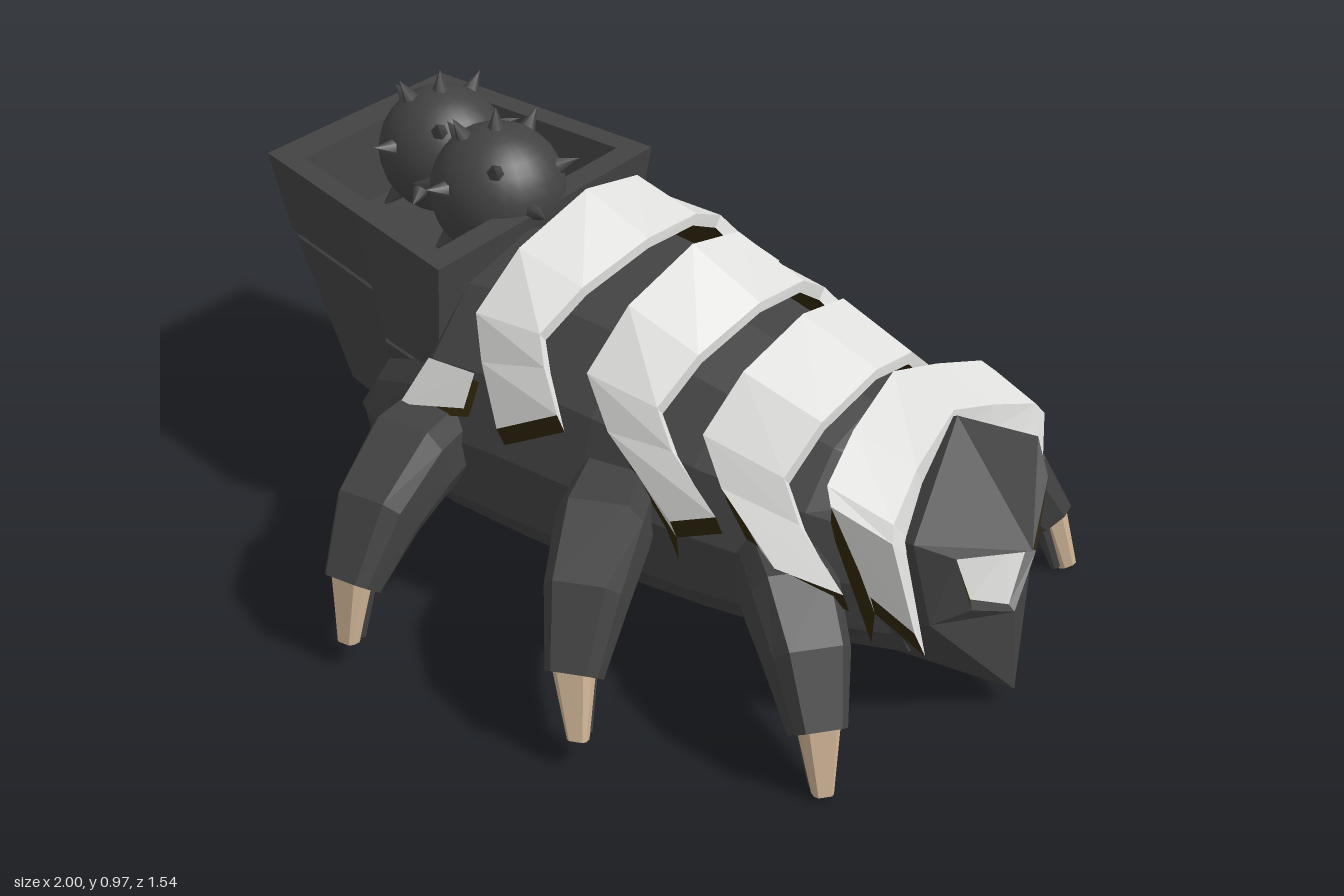
import * as THREE from 'three';

const mat = (name, color, side = THREE.FrontSide) => {
  const m = new THREE.MeshStandardMaterial({ color, side });
  m.name = name;
  return m;
};
const dark = mat('charcoal shell', 0x424242, THREE.DoubleSide);
const white = mat('pale armour', 0xe0e0de, THREE.DoubleSide);
const olive = mat('dark olive lining', 0x2f2609, THREE.DoubleSide);
const tan = mat('tan claw', 0xccb294);

// Flat-shaded mesh from a list of triangles
function triMesh(name, tris, material) {
  const g = new THREE.BufferGeometry();
  g.setAttribute('position', new THREE.Float32BufferAttribute(tris.flat(2), 3));
  g.computeVertexNormals();
  const m = new THREE.Mesh(g, material);
  m.name = name;
  return m;
}

// Closed solid through rings of equal length, turned outward by its signed volume
function loft(name, rings, material) {
  const tris = [], n = rings[0].length;
  for (let i = 0; i < rings.length - 1; i++)
    for (let j = 0; j < n; j++) {
      const k = (j + 1) % n, a = rings[i], b = rings[i + 1];
      tris.push([a[j], a[k], b[k]], [a[j], b[k], b[j]]);
    }
  const centre = r => [0, 1, 2].map(c => r.reduce((s, p) => s + p[c], 0) / n);
  const first = rings[0], last = rings[rings.length - 1];
  const c0 = centre(first), c1 = centre(last);
  for (let j = 0; j < n; j++) {
    const k = (j + 1) % n;
    tris.push([c0, first[k], first[j]], [c1, last[j], last[k]]);
  }
  const v = p => new THREE.Vector3(...p);
  const volume = tris.reduce((s, t) => s + v(t[0]).dot(v(t[1]).cross(v(t[2]))), 0);
  if (volume < 0) tris.forEach(t => t.reverse());
  return triMesh(name, tris, material);
}

// Open strip between two rows of points
function strip(name, a, b, material) {
  const tris = [];
  for (let i = 0; i < a.length - 1; i++)
    tris.push([a[i], b[i], b[i + 1]], [a[i], b[i + 1], a[i + 1]]);
  return triMesh(name, tris, material);
}

const mirrorZ = p => [p[0], p[1], -p[2]];

function makeBody() {
  // x, bottom, top, half width
  const stations = [
    [-0.72, 0.21, 0.25, 0.18], [-0.6, 0.165, 0.46, 0.29], [-0.42, 0.155, 0.58, 0.37],
    [-0.34, 0.15, 0.74, 0.4], [-0.12, 0.14, 0.77, 0.4], [0.1, 0.135, 0.75, 0.39],
    [0.35, 0.135, 0.69, 0.36], [0.6, 0.135, 0.63, 0.3], [0.8, 0.135, 0.55, 0.19],
  ];
  const rings = stations.map(([x, lo, hi, w]) => {
    const h = hi - lo;
    const half = [[0.75, 0.02], [0.95, 0.18], [1, 0.45], [0.87, 0.71], [0.53, 0.93]]
      .map(([z, y]) => [x, lo + y * h, z * w]);
    return [[x, lo, 0], ...half, [x, hi, 0], ...half.map(mirrorZ).reverse()];
  });
  return loft('body', rings, dark);
}

// Arch profiles from the crown to the lower corner: width, height and x offset
const roundArch = { zs: [0, 0.5, 0.8, 0.88, 1], ys: [1, 0.84, 0.55, 0.3, 0], xs: [0, -0.02, -0.04, -0.02, 0], lip: 0.025 };
const collarArch = { zs: [0, 0.5, 0.93, 1, 0.85], ys: [1, 0.84, 0.7, 0.62, 0], xs: [0, 0.01, 0.04, 0.03, 0], lip: 0.06 };

// Arched armour plate: each edge is [x, top y, low y, half width, sweep of the lower corner]
function makeBand(name, back, front, { zs, ys, xs, lip }) {
  const group = new THREE.Group();
  group.name = name;
  const arc = ([x, top, low, w, sweep], inset, drop) => {
    const half = zs.map((z, i) => [
      x + xs[i] + (i === 4 ? sweep : i === 3 ? sweep * 0.25 : 0),
      low + ys[i] * (top - low) - inset - (i === 4 ? drop : 0),
      z * (w - inset),
    ]);
    return [...half.slice(1).map(mirrorZ).reverse(), ...half];
  };
  const b = arc(back, 0, 0), f = arc(front, 0, 0);
  const bi = arc(back, 0.025, 0.03), fi = arc(front, lip, 0.03);
  // Lining wall that closes the rear gap down to the body
  const wall = bi.map(([x, y, z]) => [x - 0.02, y - 0.1, z * 0.9]);
  group.add(strip('armourFace', b, f, white), strip('armourLining', fi, bi, olive),
    strip('backRim', bi, b, white), strip('frontRim', f, fi, white), strip('rearLining', bi, wall, olive));
  for (const e of [0, b.length - 1])
    group.add(strip('lowerRim', [b[e], f[e]], [bi[e], fi[e]], olive));
  return group;
}

function makeHead() {
  const group = new THREE.Group();
  group.name = 'head';
  const T = [0.8, 0.67, 0], N = [1, 0.41, 0], M = [0.97, 0.24, 0], C = [0.985, 0.04, 0];
  const S = [0.86, 0.51, 0.255], V = [0.925, 0.465, 0.19], L = [0.89, 0.3, 0.22], P = [0.94, 0.31, 0.135];
  const W = [0.94, 0.385, 0], Vi = [0.91, 0.447, 0.167], Pi = [0.925, 0.322, 0.118], Mi = [0.955, 0.253, 0];
  const Bt = [0.66, 0.6, 0], Bs = [0.7, 0.46, 0.2], Bl = [0.71, 0.3, 0.2];
  const Bj = [0.7, 0.15, 0.17], Bc = [0.7, 0.135, 0];
  const quad = (a, b, c, d) => [[a, b, c], [a, c, d]];
  const centre = new THREE.Vector3(0.6, 0.35, 0);
  // Mirror the half and face every triangle away from the head's middle
  const whole = half => [...half, ...half.map(t => t.map(mirrorZ))].map(t => {
    const [a, b, c] = t.map(p => new THREE.Vector3(...p));
    const normal = b.clone().sub(a).cross(c.clone().sub(a));
    const out = a.clone().add(b).add(c).divideScalar(3).sub(centre);
    return normal.dot(out) < 0 ? [t[0], t[2], t[1]] : t;
  });
  group.add(triMesh('faceShield', whole([
    [T, S, N], [S, V, N], [S, L, V], [V, L, P], [L, M, P], [L, C, M],
    ...quad(V, N, W, Vi), ...quad(P, Pi, Mi, M),
    ...quad(T, S, Bs, Bt), ...quad(S, L, Bl, Bs), ...quad(L, C, Bj, Bl), [C, Bc, Bj],
  ]), dark));
  group.add(triMesh('visorRim', whole(quad(V, Vi, Pi, P)), olive));
  group.add(triMesh('visor', whole([[Vi, W, Pi], [W, Mi, Pi]]), white));
  return group;
}

// Boxy limb along a path of [x, y, z, width, height] in a vertical plane
function limb(name, path, dir, material) {
  const side = new THREE.Vector3(-dir.z, 0, dir.x);
  const section = [[-1, -0.4], [-0.95, 0.55], [-0.65, 1], [0.65, 1], [0.95, 0.55], [1, -0.4], [0.7, -1], [-0.7, -1]];
  const at = i => new THREE.Vector3(...path[i].slice(0, 3));
  const rings = path.map(([x, y, z, w, h], i) => {
    const t = at(Math.min(i + 1, path.length - 1)).sub(at(Math.max(i - 1, 0))).normalize();
    const up = side.clone().cross(t).normalize();
    if (up.dot(dir) + up.y < 0) up.negate();
    return section.map(([a, b]) => new THREE.Vector3(x, y, z)
      .addScaledVector(side, a * w / 2).addScaledVector(up, b * h / 2).toArray());
  });
  return loft(name, rings, material);
}

function makeLeg(name, hip, foot, tip, heights) {
  const group = new THREE.Group();
  group.name = name;
  const dir = new THREE.Vector3(foot[0] - hip[0], 0, foot[1] - hip[1]).normalize();
  const ws = [0.18, 0.2, 0.175, 0.12], hs = [0.18, 0.2, 0.18, 0.11];
  const path = [0, 0.42, 0.74, 1].map((u, i) => [
    hip[0] + u * (foot[0] - hip[0]), heights[i], hip[1] + u * (foot[1] - hip[1]), ws[i], hs[i]]);
  group.add(limb('legShell', path, dir, dark));
  const claw = (offset, thick) => [
    [foot[0] + dir.x * offset, heights[3] + 0.02, foot[1] + dir.z * offset, 0.09, thick],
    [tip[0] + dir.x * offset, tip[1], tip[2] + dir.z * offset, 0.045, thick * 0.6]];
  group.add(limb('claw', claw(0, 0.07), dir, tan), limb('clawBacking', claw(-0.028, 0.04), dir, dark));
  return group;
}

function makeCarrier() {
  // Corner order: rear left, two step points, front left, then back along the other side
  const lerp = (a, b, t) => a.map((v, i) => v + (b[i] - v) * t);
  const ring = (A, B, C, D) => [A, lerp(A, D, 0.53), lerp(A, D, 0.6), D, C, lerp(B, C, 0.6), lerp(B, C, 0.53), B];
  const stepped = (inset, drop) => [
    [-0.95, 0.61, 0.14], [-0.63, 0.6, 0.22], [-0.59, 0.48, 0.23], [-0.38, 0.48, 0.28],
    [-0.36, 0.48, -0.42], [-0.57, 0.48, -0.42], [-0.61, 0.6, -0.42], [-0.91, 0.61, -0.4],
  ].map(([x, y, z]) => [-0.65 + (x + 0.65) * (1 - inset), y - drop, -0.09 + (z + 0.09) * (1 - inset)]);
  return loft('carrierBox', [
    ring([-0.83, 0.215, 0.09], [-0.82, 0.215, -0.28], [-0.48, 0.2, -0.28], [-0.48, 0.2, 0.18]),
    stepped(0.03, 0.02),
    stepped(0.07, 0.01),
    stepped(0, 0),
    ring([-1, 0.8, 0.15], [-0.96, 0.8, -0.43], [-0.33, 0.77, -0.46], [-0.36, 0.76, 0.29]),
    ring([-0.92, 0.795, 0.11], [-0.9, 0.795, -0.38], [-0.39, 0.773, -0.4], [-0.42, 0.764, 0.22]),
    ring([-0.89, 0.62, 0.09], [-0.87, 0.62, -0.36], [-0.41, 0.6, -0.38], [-0.43, 0.6, 0.2]),
  ], dark);
}

function makeSpikedBall(x, y, z, r) {
  const group = new THREE.Group();
  group.name = 'spikedBall';
  group.position.set(x, y, z);
  const ball = new THREE.Mesh(new THREE.SphereGeometry(r, 24, 16), dark);
  ball.name = 'ball';
  group.add(ball);
  const cone = new THREE.ConeGeometry(0.025, 0.065, 6), up = new THREE.Vector3(0, 1, 0);
  const count = 18;
  for (let i = 0; i < count; i++) {
    const h = 1 - 2 * i / (count - 1), s = Math.sqrt(1 - h * h), a = i * 2.4;
    const d = new THREE.Vector3(s * Math.cos(a), h, s * Math.sin(a));
    const spike = new THREE.Mesh(cone, dark);
    spike.name = 'spike';
    spike.position.copy(d).multiplyScalar(r + 0.018);
    spike.quaternion.setFromUnitVectors(up, d);
    group.add(spike);
  }
  return group;
}

export function createModel() {
  const model = new THREE.Group();
  model.name = 'armouredCrawler';
  model.add(makeBody(), makeHead(), makeCarrier());
  model.add(makeSpikedBall(-0.76, 0.745, -0.2, 0.155), makeSpikedBall(-0.5, 0.76, -0.09, 0.16));

  // Armour bands from the carrier to the collar
  model.add(
    makeBand('firstBand', [-0.17, 0.9, 0.52, 0.43, 0.08], [0, 0.83, 0.61, 0.42, 0.07], roundArch),
    makeBand('secondBand', [0.12, 0.855, 0.45, 0.41, 0.24], [0.3, 0.77, 0.5, 0.4, 0.17], roundArch),
    makeBand('thirdBand', [0.41, 0.78, 0.42, 0.385, 0.2], [0.6, 0.71, 0.4, 0.355, 0.16], roundArch),
    makeBand('collarBand', [0.64, 0.72, 0.36, 0.33, 0.14], [0.79, 0.68, 0.3, 0.31, 0.09], collarArch));

  // Small plates beside the carrier
  for (const s of [1, -1]) {
    const row = (pts, drop) => pts.map(([x, y, z]) => [x, y - drop, s * (z - drop / 2)]);
    const low = [[-0.37, 0.48, 0.43], [-0.19, 0.53, 0.42]], high = [[-0.33, 0.585, 0.37], [-0.19, 0.6, 0.38]];
    model.add(strip('sidePlate', row(low, 0), row(high, 0), white));
    model.add(strip('sidePlateLining', row(low, 0.03), row(high, 0.03), olive));
  }

  // Legs, three on each side
  const tall = [0.4, 0.39, 0.32, 0.19], short = [0.33, 0.32, 0.26, 0.14];
  model.add(
    makeLeg('rearLegA', [-0.32, 0.3], [-0.28, 0.71], [-0.27, 0.06, 0.745], tall),
    makeLeg('middleLegA', [0.15, 0.3], [0.31, 0.68], [0.35, 0.065, 0.72], tall),
    makeLeg('frontLegA', [0.52, 0.25], [0.79, 0.48], [0.82, 0.005, 0.5], short),
    makeLeg('rearLegB', [-0.37, -0.3], [-0.36, -0.71], [-0.36, 0.05, -0.75], tall),
    makeLeg('middleLegB', [0.08, -0.3], [0.17, -0.69], [0.18, 0.07, -0.725], tall),
    makeLeg('frontLegB', [0.52, -0.25], [0.77, -0.51], [0.82, 0.005, -0.53], short));
  return model;
}
